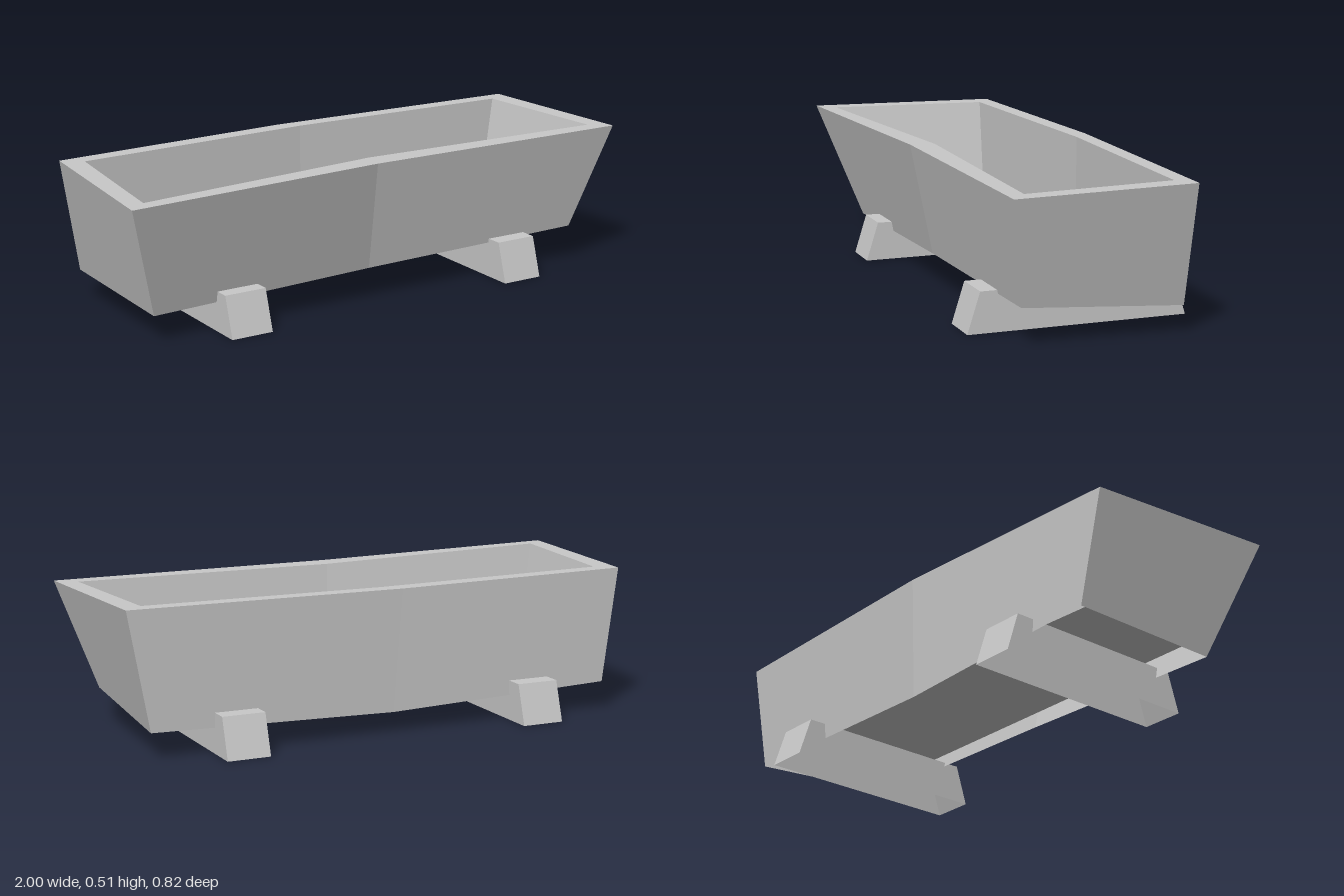
import * as THREE from 'three';

// Both sides show because the hollow shells are open underneath
const stone = new THREE.MeshStandardMaterial({ color: 0xc8c8c8, side: THREE.DoubleSide });
stone.name = 'pale grey';

// Each loop: front left-middle-right, then back right-middle-left
const outerBottom = [
  [-0.86, 0.097, 0.267], [-0.015, 0.118, 0.262], [0.869, 0.133, 0.264],
  [0.88, 0.095, -0.297], [-0.01, 0.075, -0.3], [-0.855, 0.103, -0.302],
];
const outerTop = [
  [-1, 0.513, 0.41], [-0.03, 0.513, 0.338], [1, 0.513, 0.339],
  [0.96, 0.513, -0.305], [-0.03, 0.513, -0.328], [-0.93, 0.513, -0.277],
];
const innerTop = [
  [-0.93, 0.513, 0.35], [-0.01, 0.513, 0.252], [0.93, 0.513, 0.28],
  [0.89, 0.513, -0.25], [0.03, 0.513, -0.27], [-0.86, 0.513, -0.222],
];
const innerFloor = [
  [-0.815, 0.148, 0.225], [0, 0.148, 0.225], [0.84, 0.148, 0.225],
  [0.84, 0.148, -0.25], [0.03, 0.148, -0.268], [-0.815, 0.148, -0.222],
];

// Geometry from four-cornered faces, split a-c, with one flat normal per face
function facesToGeometry(quads) {
  const positions = [];
  const normals = [];
  for (const [a, b, c, d] of quads) {
    positions.push(...a, ...b, ...c, ...a, ...c, ...d);
    const [va, vb, vc, vd] = [a, b, c, d].map((p) => new THREE.Vector3(...p));
    const normal = vc.sub(va).cross(vd.sub(vb)).normalize();
    for (let k = 0; k < 6; k++) normals.push(...normal.toArray());
  }
  const geometry = new THREE.BufferGeometry();
  geometry.setAttribute('position', new THREE.Float32BufferAttribute(positions, 3));
  geometry.setAttribute('normal', new THREE.Float32BufferAttribute(normals, 3));
  return geometry;
}

// Outer walls, rim, inner walls and floor, open underneath
function basinGeometry() {
  const quads = [];
  const loops = [outerBottom, outerTop, innerTop, innerFloor];
  for (let k = 0; k < loops.length - 1; k++) {
    const [low, high] = [loops[k], loops[k + 1]];
    for (let i = 0; i < 6; i++) {
      const j = (i + 1) % 6;
      const isEnd = i % 3 === 2;
      quads.push(isEnd
        ? [low[j], high[j], high[i], low[i]]
        : [low[i], low[j], high[j], high[i]]);
    }
  }
  for (const corners of [[0, 1, 4, 5], [1, 2, 3, 4]]) {
    quads.push(corners.map((i) => innerFloor[i]));
  }
  return facesToGeometry(quads);
}

// Hollow cross beam with sloping ends, open underneath
function beamGeometry(width) {
  const w = width / 2;
  const bottom = [[-w, 0, 0.37], [w, 0, 0.37], [w, 0, -0.41], [-w, 0, -0.41]];
  const top = [[-w, 0.142, 0.325], [w, 0.142, 0.325], [w, 0.142, -0.365], [-w, 0.142, -0.365]];
  const quads = [top];
  for (let i = 0; i < 4; i++) {
    const j = (i + 1) % 4;
    quads.push([bottom[i], bottom[j], top[j], top[i]]);
  }
  return facesToGeometry(quads);
}

export function createModel() {
  const model = new THREE.Group();
  model.name = 'trough';

  const basin = new THREE.Mesh(basinGeometry(), stone);
  basin.name = 'basin';
  model.add(basin);

  const beam = beamGeometry(0.155);
  for (const [name, x] of [['rightSupport', -0.547], ['leftSupport', 0.578]]) {
    const support = new THREE.Mesh(beam, stone);
    support.name = name;
    support.position.x = x;
    model.add(support);
  }
  return model;
}
